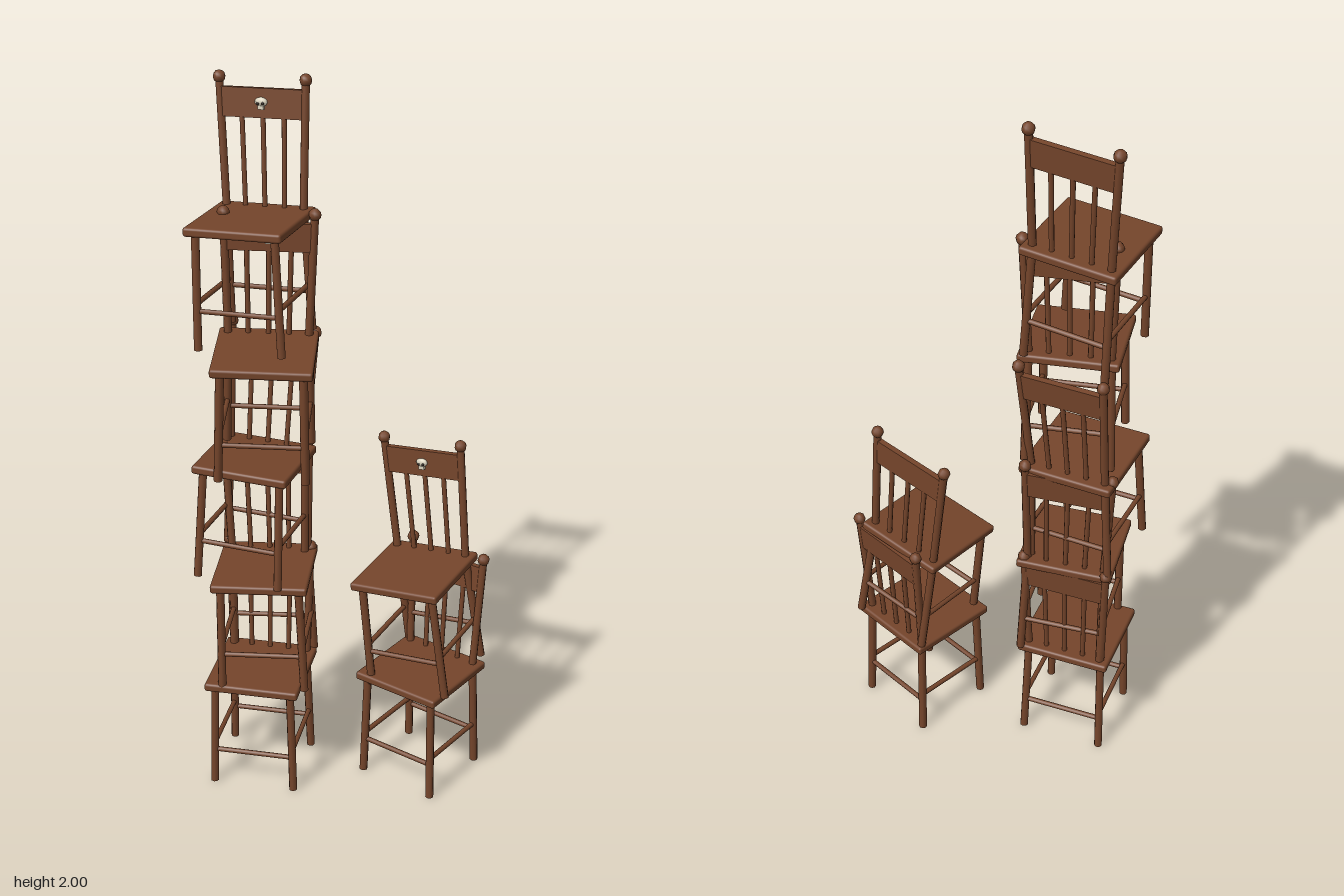
import * as THREE from 'three';
import { RoundedBoxGeometry } from 'three/addons/geometries/RoundedBoxGeometry.js';

const mat = (name, color) => {
  const m = new THREE.MeshStandardMaterial({ color });
  m.name = name;
  return m;
};

function mesh(name, geometry, material, x = 0, y = 0, z = 0) {
  const m = new THREE.Mesh(geometry, material);
  m.name = name;
  m.position.set(x, y, z);
  return m;
}

// Round rod between two points
function rod(name, a, b, radius, material) {
  const from = new THREE.Vector3(...a), to = new THREE.Vector3(...b);
  const dir = to.clone().sub(from);
  const m = mesh(name, new THREE.CylinderGeometry(radius, radius, dir.length(), 8), material);
  m.position.copy(from).add(to).multiplyScalar(0.5);
  m.quaternion.setFromUnitVectors(new THREE.Vector3(0, 1, 0), dir.normalize());
  return m;
}

// Small carved skull on the top rail
function buildOrnament(bone, dark) {
  const g = new THREE.Group();
  g.name = 'ornament';
  const cranium = mesh('cranium', new THREE.SphereGeometry(0.014, 10, 8), bone, 0, 0.004, 0);
  cranium.scale.set(1.25, 0.85, 0.6);
  g.add(cranium);
  g.add(mesh('jaw', new THREE.BoxGeometry(0.016, 0.01, 0.01), bone, 0, -0.01, 0.001));
  for (const s of [-1, 1]) {
    const eye = mesh('eyeSocket', new THREE.SphereGeometry(0.004, 8, 6), dark, s * 0.0065, 0.001, 0.007);
    eye.scale.z = 0.5;
    g.add(eye);
  }
  return g;
}

// One chair; its origin is the middle of the seat's top face
function buildChair(wood, bone, dark) {
  const chair = new THREE.Group();
  chair.name = 'chair';
  chair.add(mesh('seat', new RoundedBoxGeometry(0.265, 0.024, 0.265, 2, 0.007), wood, 0, -0.012, 0));

  const foot = 0.115, top = 0.107, knobY = 0.328, knobZ = -0.125;
  for (const s of [-1, 1]) {
    chair.add(rod('frontLeg', [s * foot, -0.33, foot], [s * top, -0.01, top], 0.0115, wood));
    chair.add(rod('backLeg', [s * foot, -0.33, -foot], [s * top, 0, -0.103], 0.0115, wood));
    chair.add(rod('backPost', [s * top, -0.01, -0.103], [s * 0.118, knobY, knobZ], 0.011, wood));
    chair.add(mesh('knob', new THREE.SphereGeometry(0.017, 8, 6), wood, s * 0.118, knobY, knobZ));
    chair.add(rod('sideStretcher', [s * 0.112, -0.205, 0.112], [s * 0.112, -0.205, -0.112], 0.007, wood));
    chair.add(rod('crossStretcher', [-0.112, -0.225, s * 0.112], [0.112, -0.225, s * 0.112], 0.007, wood));
  }
  // Spindles between seat and top rail
  for (const i of [-1, 0, 1]) {
    chair.add(rod('spindle', [i * 0.054, -0.005, -0.104], [i * 0.058, 0.24, -0.12], 0.007, wood));
  }
  // Top rail leaning back with the posts
  const rail = new THREE.Group();
  rail.name = 'topRail';
  rail.position.set(0, 0.266, -0.121);
  rail.rotation.x = -0.067;
  rail.add(mesh('railBoard', new THREE.BoxGeometry(0.232, 0.076, 0.016), wood));
  const ornament = buildOrnament(bone, dark);
  ornament.position.z = 0.011;
  rail.add(ornament);
  chair.add(rail);
  return chair;
}

export function createModel() {
  const model = new THREE.Group();
  model.name = 'stackedChairs';
  const wood = mat('brown wood', 0x75452b);
  const bone = mat('bone', 0xd9d2bd);
  const dark = mat('dark sockets', 0x2a211b);
  const chair = buildChair(wood, bone, dark);

  // Each chair: x, seat height, z, yaw, pitch, roll
  const stacks = {
    tallStack: [
      [-0.229, 0.333, 0.037, 0, 0, 0],
      [-0.215, 0.657, 0.033, 0.1, 0, 0.02],
      [-0.238, 0.985, 0.023, -0.1, -0.05, -0.03],
      [-0.192, 1.315, 0.07, 0.153, 0.055, -0.02],
      [-0.24, 1.652, 0.01, -0.13, -0.03, 0.04],
    ],
    shortStack: [
      [0.215, 0.333, -0.044, -0.434, 0, 0],
      [0.19, 0.65, -0.046, -0.307, 0.06, 0.11],
    ],
  };
  for (const [name, places] of Object.entries(stacks)) {
    const stack = new THREE.Group();
    stack.name = name;
    for (const [x, y, z, yaw, pitch, roll] of places) {
      const c = chair.clone();
      c.position.set(x, y, z);
      c.rotation.set(pitch, yaw, roll, 'YXZ');
      stack.add(c);
    }
    model.add(stack);
  }
  return model;
}
